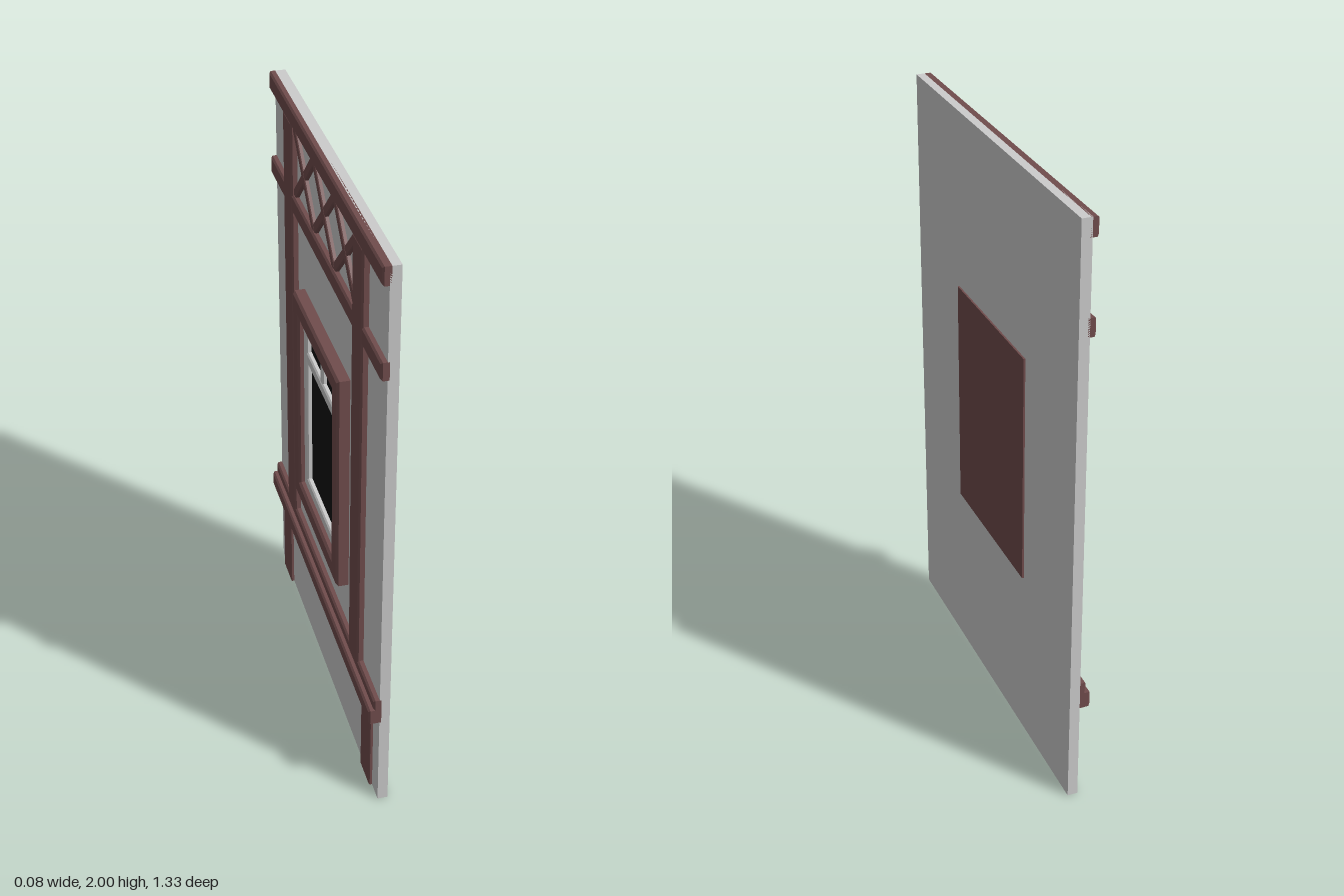
import * as THREE from 'three';

const TIMBER = 0x704c4c, GREY = 0xcccccc, GLASS = 0x101010;
const mats = {};
const mat = (color) => (mats[color] ??= new THREE.MeshStandardMaterial({ color, flatShading: true }));

function rect(Target, z0, z1, y0, y1) {
  const p = new Target();
  p.moveTo(z0, y0);
  p.lineTo(z1, y0);
  p.lineTo(z1, y1);
  p.lineTo(z0, y1);
  p.closePath();
  return p;
}

// Chamfered board drawn in the z-y plane, rising from inside the wall to x = -out
function board(name, shape, out, color = TIMBER, chamfer = 0.006) {
  const back = 0.012;
  const geo = new THREE.ExtrudeGeometry(shape, {
    depth: out + back - 2 * chamfer,
    bevelEnabled: true, bevelSegments: 1,
    bevelSize: chamfer, bevelThickness: chamfer, bevelOffset: -chamfer,
  });
  geo.translate(0, 0, chamfer - back);
  geo.rotateY(-Math.PI / 2);
  const mesh = new THREE.Mesh(geo, mat(color));
  mesh.name = name;
  return mesh;
}
const beam = (name, z0, z1, y0, y1, out, color, chamfer) =>
  board(name, rect(THREE.Shape, z0, z1, y0, y1), out, color, chamfer);

function ring(name, w, y0, y1, border, out, color, chamfer) {
  const s = rect(THREE.Shape, -w, w, y0, y1);
  s.holes.push(rect(THREE.Path, -w + border, w - border, y0 + border, y1 - border));
  return board(name, s, out, color, chamfer);
}

function box(name, x0, x1, y0, y1, z0, z1, color) {
  const mesh = new THREE.Mesh(new THREE.BoxGeometry(x1 - x0, y1 - y0, z1 - z0), mat(color));
  mesh.position.set((x0 + x1) / 2, (y0 + y1) / 2, (z0 + z1) / 2);
  mesh.name = name;
  return mesh;
}

export function createModel() {
  const model = new THREE.Group();
  model.name = 'timberedWallPanel';
  const W = 0.665;

  // Plain wall slab and the panel behind the window
  model.add(box('wall', 0, 0.034, 0, 2, -W, W, GREY));
  model.add(box('windowBackPanel', 0.03, 0.04, 0.605, 1.4, -0.283, 0.283, TIMBER));

  // Horizontal timbers
  model.add(beam('topRail', -W, W, 1.94, 2, 0.021));
  model.add(beam('middleRail', -W, W, 1.64, 1.7, 0.02));
  model.add(beam('lowerRail', -W, W, 0.4, 0.44, 0.02));
  model.add(beam('sillRail', -W, W, 0.345, 0.4, 0.036));

  // Upright timbers, mirrored in z
  for (const s of [-1, 1]) {
    const span = (a, b) => (s > 0 ? [a, b] : [-b, -a]);
    model.add(beam('upperPost', ...span(0.368, 0.472), 0.43, 1.95, 0.022));
    model.add(beam('lowerPost', ...span(0.492, 0.598), 0, 0.36, 0.011, TIMBER, 0.003));
  }

  // Crossed lattice below the top rail
  const lattice = new THREE.Group();
  lattice.name = 'lattice';
  const cells = 3, half = 0.37, cw = (2 * half) / cells, ch = 0.24;
  for (let i = 0; i < cells; i++) {
    for (const s of [-1, 1]) {
      const len = Math.hypot(cw, ch) / 2 + 0.004;
      const brace = beam('latticeBrace', -len, len, -0.016, 0.016, s > 0 ? 0.013 : 0.012, TIMBER, 0.003);
      brace.geometry.rotateX(s * Math.atan2(ch, cw));
      brace.position.set(0, 1.82, -half + (i + 0.5) * cw);
      lattice.add(brace);
    }
  }
  model.add(lattice);

  // Window: timber surround, grey sash, glazing bars and dark glass
  const win = new THREE.Group();
  win.name = 'window';
  win.add(ring('windowSurround', 0.283, 0.605, 1.4, 0.065, 0.042, TIMBER, 0.008));
  win.add(ring('sash', 0.225, 0.663, 1.342, 0.045, 0.021, GREY, 0.005));
  win.add(beam('transom', -0.185, 0.185, 1.18, 1.22, 0.02, GREY, 0.005));
  win.add(beam('glazingBar', -0.016, 0.016, 1.21, 1.305, 0.018, GREY, 0.005));
  win.add(box('glass', -0.004, 0.01, 0.69, 1.32, -0.2, 0.2, GLASS));
  model.add(win);

  return model;
}
